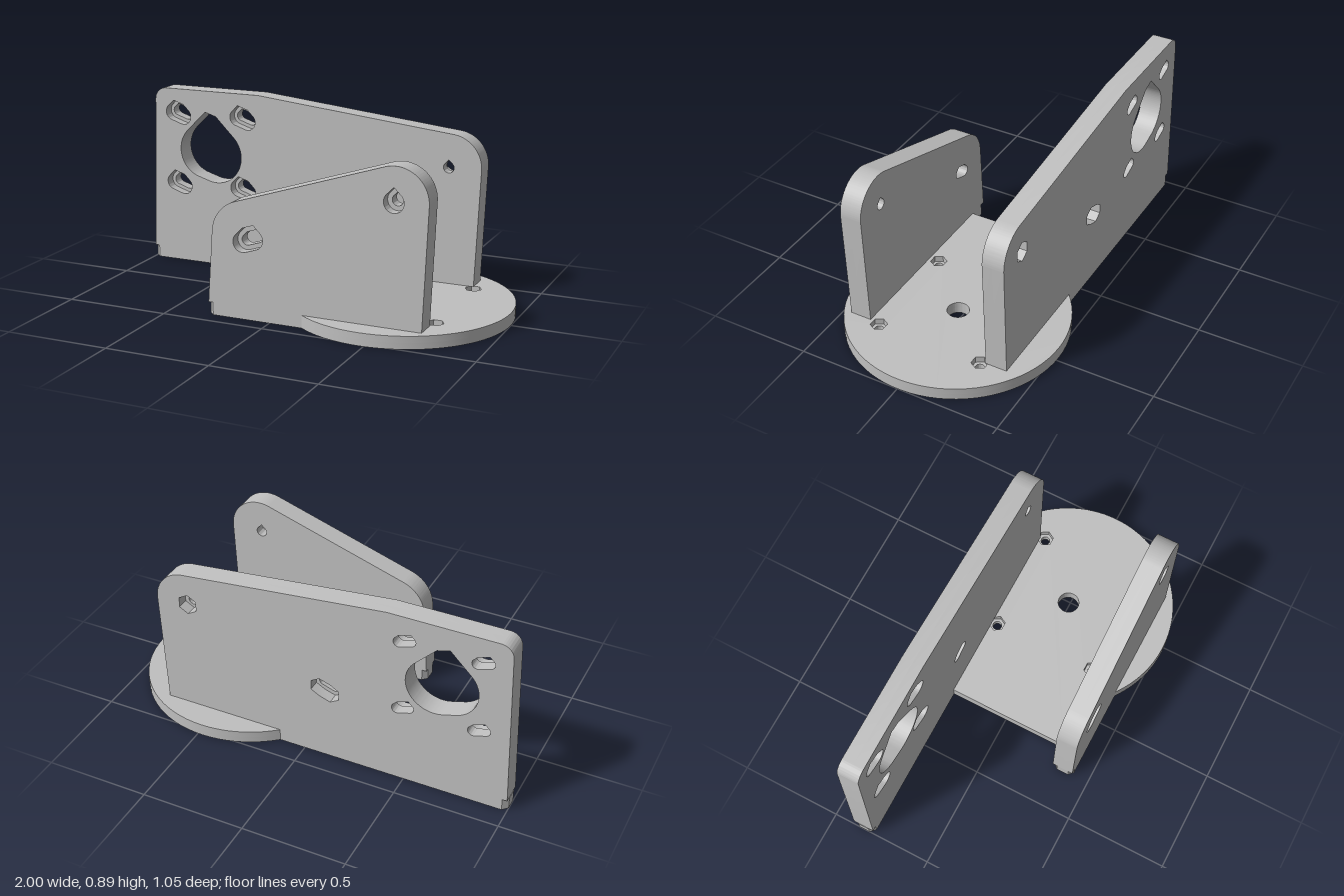
import * as THREE from 'three';
import { toCreasedNormals } from 'three/addons/utils/BufferGeometryUtils.js';

const rad = THREE.MathUtils.degToRad;
const V = (x, y) => new THREE.Vector2(x, y);

// Slot swept from (ax, ay) to (bx, by) with 45 degree pointed roof
function teardrop(ax, ay, bx, by, r) {
  const p = new THREE.Path();
  const low = 1.5 * Math.PI + Math.atan2(by - ay, bx - ax || 1);
  p.absarc(ax, ay, r, rad(135), low, false);
  p.absarc(bx, by, r, low, rad(405), false);
  p.lineTo(bx, by + r * Math.SQRT2);
  if (ax !== bx) p.lineTo(ax, ay + r * Math.SQRT2);
  p.closePath();
  return p;
}

// Hexagon, optionally stretched from a to b
function hexSlot(ax, ay, bx, by, r) {
  const pts = [];
  const put = (x, y, list) => list.forEach(a => pts.push(V(x + r * Math.cos(rad(a)), y + r * Math.sin(rad(a)))));
  put(ax, ay, ax === bx ? [90, 150, 210] : [90, 150, 210, 270]);
  put(bx, by, ax === bx ? [270, 330, 30] : [270, 330, 30, 90]);
  return new THREE.Path(pts);
}

function circle(x, y, r) {
  return new THREE.Path().absarc(x, y, r, 0, Math.PI * 2, false);
}

function slab(outline, holes, from, to, material, name) {
  const shape = outline();
  shape.holes = holes;
  const geo = new THREE.ExtrudeGeometry(shape, { depth: to - from, bevelEnabled: false, curveSegments: 28 });
  geo.translate(0, 0, from);
  const mesh = new THREE.Mesh(toCreasedNormals(geo, 0.5), material);
  mesh.name = name;
  return mesh;
}

export function createModel() {
  const model = new THREE.Group();
  model.name = 'mountingBracket';
  const grey = new THREE.MeshStandardMaterial({ color: 0xc0c0c0 });
  grey.name = 'grey plastic';

  // Base: round flange joined to the feet of both side plates
  const footprint = () => {
    const s = new THREE.Shape();
    s.moveTo(-0.2, -0.315);
    s.lineTo(-0.285, -0.315);
    s.lineTo(-0.308, -0.338);
    s.lineTo(-0.308, -0.397);
    s.lineTo(-0.285, -0.42);
    s.absarc(0.475, 0, 0.525, Math.atan2(-0.42, -0.315), Math.atan2(0.395, -0.346), false);
    s.lineTo(-0.975, 0.395);
    s.lineTo(-1, 0.37);
    s.lineTo(-1, 0.315);
    s.lineTo(-0.975, 0.29);
    s.lineTo(-0.2, 0.29);
    s.closePath();
    return s;
  };
  const screws = [[0.21, 0.265], [0.735, 0.265], [0.21, -0.265], [0.735, -0.265]];
  const hexHole = (x, y) => new THREE.Path(
    [0, 60, 120, 180, 240, 300].map(a => V(x + 0.04 * Math.cos(rad(a)), y + 0.04 * Math.sin(rad(a)))));
  const base = new THREE.Group();
  base.name = 'base';
  base.add(
    slab(footprint, [circle(0.475, 0, 0.052), ...screws.map(([x, y]) => circle(x, y, 0.022))], 0, 0.03, grey, 'baseLower'),
    slab(footprint, [circle(0.475, 0, 0.052), ...screws.map(([x, y]) => hexHole(x, y))], 0.03, 0.06, grey, 'baseUpper'));
  base.rotation.x = -Math.PI / 2;
  model.add(base);

  // Screw holes shared by both side plates
  const clampHoles = r => [teardrop(-0.132, 0.363, -0.078, 0.381, r), teardrop(0.59, 0.625, 0.59, 0.625, r)];

  // Short front plate, screw heads recessed from outside
  const frontOutline = () => {
    const s = new THREE.Shape();
    s.moveTo(-0.308, 0.06);
    s.lineTo(0.727, 0.06);
    s.absarc(0.595, 0.63, 0.155, rad(-3), rad(107.5), false);
    s.absarc(-0.12, 0.39, 0.165, rad(107.5), rad(176), false);
    s.closePath();
    return s;
  };
  const front = new THREE.Group();
  front.name = 'frontPlate';
  front.add(
    slab(frontOutline, clampHoles(0.026), 0.315, 0.37, grey, 'frontPlateInner'),
    slab(frontOutline, clampHoles(0.047), 0.37, 0.42, grey, 'frontPlateOuter'));
  model.add(front);

  // Long back plate with motor opening and four adjustable screw slots
  const backOutline = () => {
    const s = new THREE.Shape();
    s.moveTo(-0.998, 0.06);
    s.lineTo(0.727, 0.06);
    s.absarc(0.595, 0.63, 0.155, rad(-3), rad(84), false);
    s.lineTo(-0.4, 0.89);
    s.absarc(-0.915, 0.83, 0.06, rad(90), rad(178), false);
    s.closePath();
    return s;
  };
  const motorHoles = r => {
    const list = [teardrop(-0.695, 0.585, -0.635, 0.567, 0.14)];
    for (const dx of [0, 0.36]) for (const dy of [0, -0.36])
      list.push(teardrop(-0.873 + dx, 0.771 + dy, -0.818 + dx, 0.753 + dy, r));
    return list;
  };
  const nutTraps = [hexSlot(-0.132, 0.363, -0.078, 0.381, 0.048), hexSlot(0.59, 0.63, 0.59, 0.63, 0.05)];
  const back = new THREE.Group();
  back.name = 'backPlate';
  back.add(
    slab(backOutline, [...motorHoles(0.042), ...clampHoles(0.026)], -0.34, -0.29, grey, 'backPlateInner'),
    slab(backOutline, [...motorHoles(0.025), ...nutTraps], -0.395, -0.34, grey, 'backPlateOuter'));
  model.add(back);

  return model;
}
